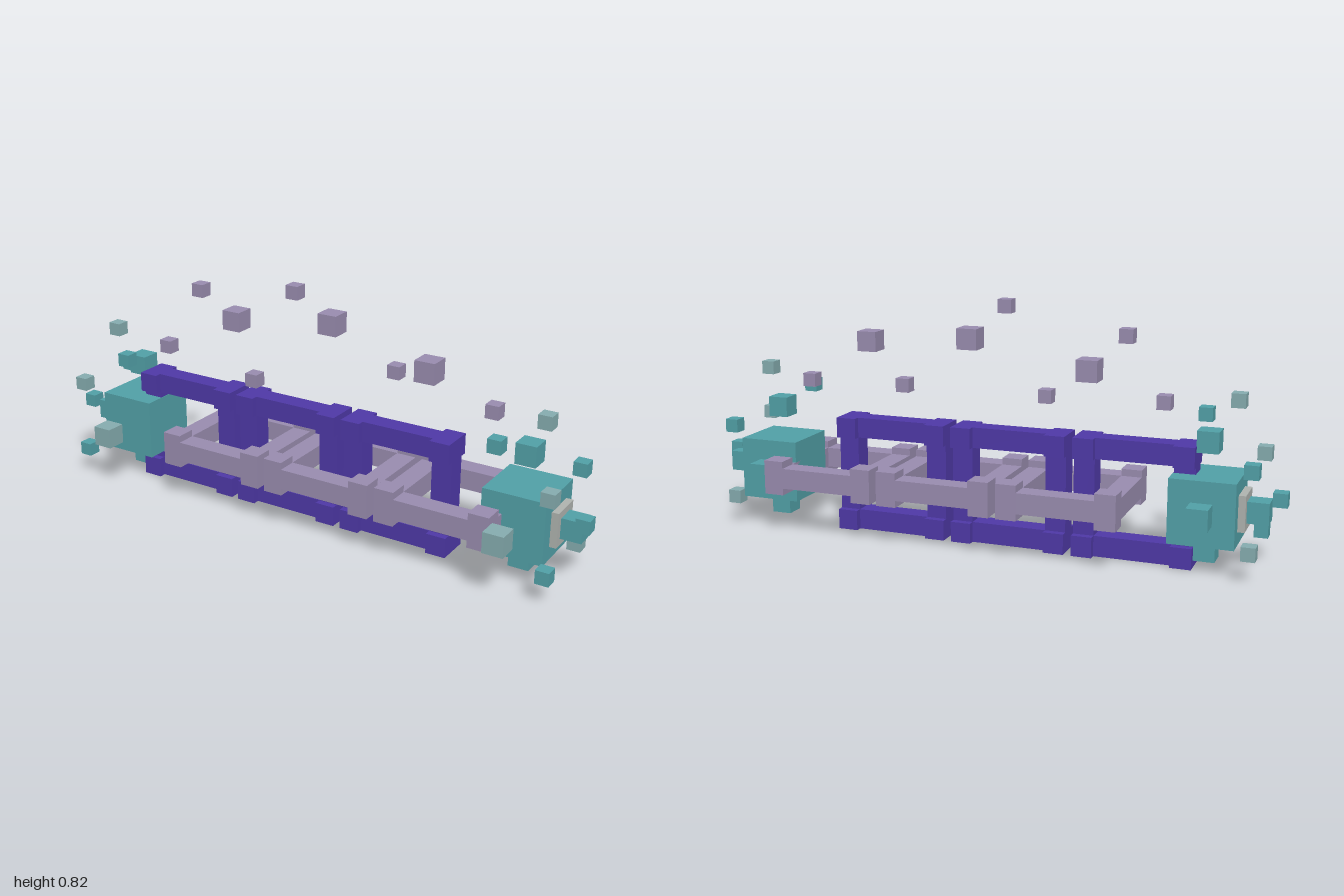
import * as THREE from 'three';

const mat = (color) => new THREE.MeshStandardMaterial({ color, flatShading: true });

export function createModel() {
  const model = new THREE.Group();
  const violet = mat(0x4f39a8), mauve = mat(0x9a8db0), teal = mat(0x52a1a8);
  const paleTeal = mat(0x86adb0), plateGrey = mat(0xb0b4b0);

  function box(parent, name, material, [w, h, d], [x, y, z]) {
    const mesh = new THREE.Mesh(new THREE.BoxGeometry(w, h, d), material);
    mesh.name = name;
    mesh.position.set(x, y, z);
    parent.add(mesh);
  }
  const cube = (parent, name, material, s, pos) => box(parent, name, material, [s, s, s], pos);

  const CY = 0.201, CZ = -0.022, T = 0.07;

  // Square chain link: four bars joined by thicker corner blocks
  function link(name, material) {
    const g = new THREE.Group();
    g.name = name;
    const r = 0.164, inner = 0.258;
    for (const s of [-1, 1]) {
      box(g, 'linkRail', material, [inner, T, T], [0, s * r, 0]);
      box(g, 'linkPost', material, [T, inner, T], [s * r, 0, 0]);
      for (const t of [-1, 1]) box(g, 'linkCorner', material, [T, T, 0.118], [s * r, t * r, 0]);
    }
    return g;
  }

  // Upright links interlocked with flat ones
  for (let i = 0; i < 3; i++) {
    const upright = link('uprightLink', violet);
    upright.position.set(-0.521 + i * 0.4245, 0.2, CZ);
    const flat = link('flatLink', mauve);
    flat.rotation.x = Math.PI / 2;
    flat.position.set(-0.309 + i * 0.423, CY + 0.001, CZ);
    model.add(upright, flat);
  }

  // End blocks with an outer plate and surrounding cubes
  for (const s of [-1, 1]) {
    const end = new THREE.Group();
    end.name = s > 0 ? 'leftEnd' : 'rightEnd';
    end.position.set(0.009 + s * 0.763, CY + 0.001, CZ);
    cube(end, 'endBlock', teal, 0.212, [0, 0, 0]);
    box(end, 'endPlate', plateGrey, [0.024, 0.118, 0.118], [s * 0.117, 0, 0]);
    cube(end, 'outerCube', teal, T, [s * 0.163, 0, 0]);
    cube(end, 'upperCube', teal, T, [0, 0.212, 0]);
    cube(end, 'lowerCube', teal, T, [0, -0.141, 0]);
    cube(end, 'frontCube', paleTeal, T, [0, 0, 0.212]);
    cube(end, 'backCube', teal, T, [0, 0, -0.141]);
    model.add(end);

    // Small shards drifting around each end
    const shards = [
      [0.717, 0.472, 0.107, teal], [0.835, 0.543, 0.013, paleTeal],
      [0.906, 0.354, 0.131, paleTeal], [0.906, 0.354, -0.127, teal],
      [0.906, 0.096, 0.131, teal], [0.906, 0.096, -0.127, paleTeal],
      [0.977, 0.237, 0.013, teal],
    ];
    for (const [x, y, z, m] of shards) cube(model, 'endShard', m, 0.046, [s * x, y, z]);
  }

  // Fragments floating above the chain: x, y, z, size
  const fragments = [
    [-0.6, 0.519, 0.013, 0.046], [-0.485, 0.732, -0.034, 0.046], [-0.379, 0.626, -0.093, 0.07],
    [-0.18, 0.496, 0.084, 0.046], [-0.062, 0.802, 0.013, 0.046], [0.044, 0.697, -0.045, 0.07],
    [0.244, 0.543, -0.127, 0.046], [0.466, 0.65, 0.072, 0.07], [0.643, 0.519, -0.034, 0.046],
  ];
  for (const [x, y, z, size] of fragments) cube(model, 'floatingFragment', mauve, size, [x, y, z]);

  return model;
}
